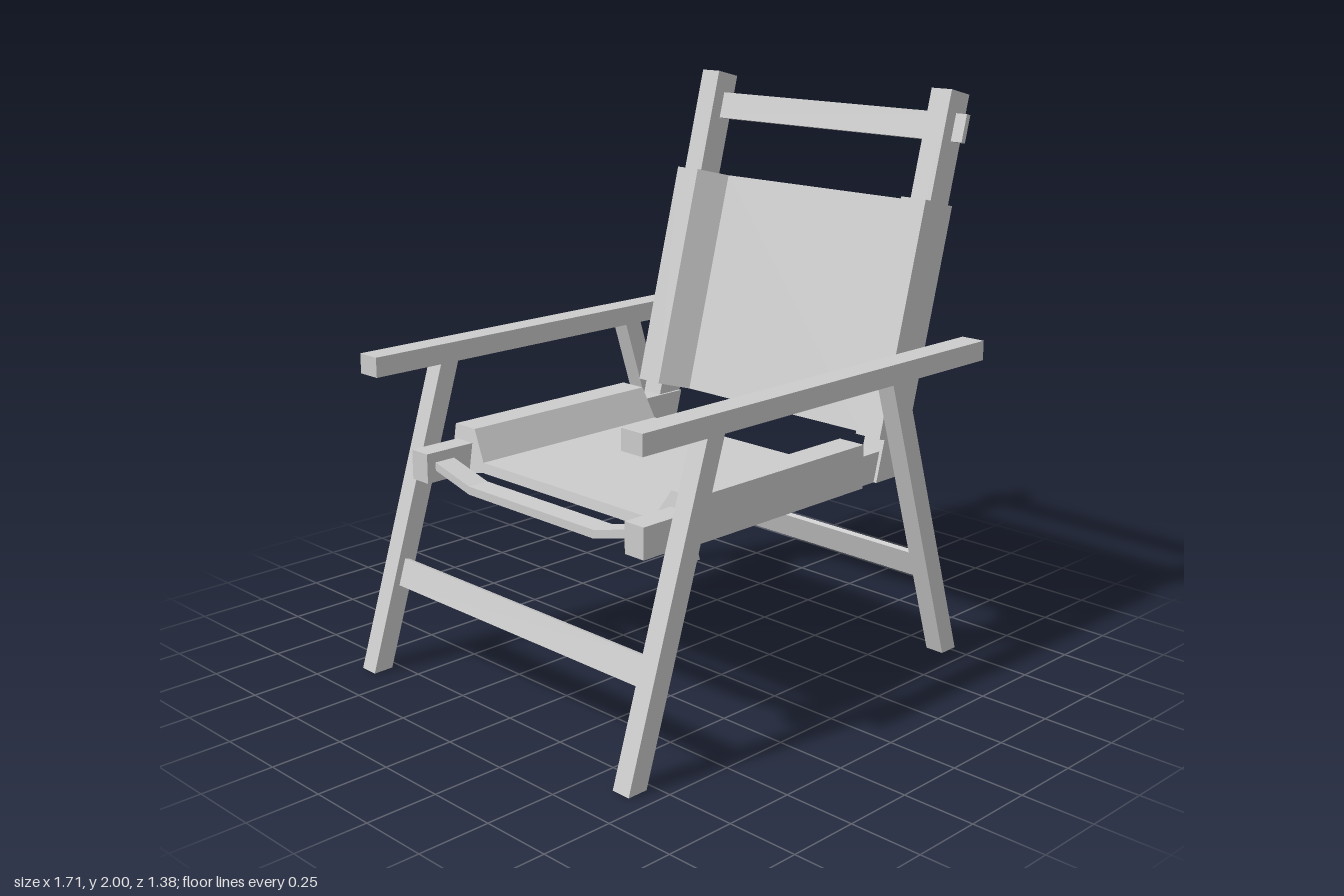
import * as THREE from 'three';

const TILT = 0.2567; // lean of the backrest from vertical

export function createModel() {
  const chair = new THREE.Group();
  chair.name = 'foldingArmchair';
  const grey = new THREE.MeshStandardMaterial({ color: 0xcccccc });
  grey.name = 'light grey';

  const add = (name, geometry, parent = chair) => {
    const mesh = new THREE.Mesh(geometry, grey);
    mesh.name = name;
    parent.add(mesh);
    return mesh;
  };
  const extrude = (points, depth) => new THREE.ExtrudeGeometry(
    new THREE.Shape(points.map(([a, b]) => new THREE.Vector2(a, b))),
    { depth, bevelEnabled: false });

  // Side-profile timber, made once for each side of the chair
  const pair = (name, points, zIn, zOut) => {
    for (const [side, z] of [['Left', zIn], ['Right', -zOut]]) {
      add(name + side, extrude(points, zOut - zIn)).position.z = z;
    }
  };
  pair('armrest', [[-0.8, 1.06], [0.855, 1.06], [0.855, 1.13], [-0.8, 1.13]], 0.6, 0.69);
  pair('frontLeg', [[-0.855, 0], [-0.78, 0], [-0.445, 1.06], [-0.52, 1.06]], 0.61, 0.68);
  pair('backLeg', [[0.7, 0], [0.775, 0], [0.44, 1.06], [0.365, 1.06]], 0.61, 0.68);
  pair('seatRail', [[-0.685, 0.685], [0.515, 0.685], [0.543, 0.79], [-0.685, 0.79]], 0.49, 0.573);
  pair('backPost', [[0.41, 0.685], [0.516, 0.685], [0.855, 1.975], [0.755, 2]], 0.5, 0.585);

  // Flat cross boards, leaning with the parts they join
  const board = (name, x, y, lean, length) => {
    const mesh = add(name, new THREE.BoxGeometry(0.02, 0.097, length));
    mesh.position.set(x, y, 0);
    mesh.rotation.z = -lean;
  };
  board('topCrossbar', 0.781, 1.868, TILT, 1.26);
  board('frontStretcher', -0.711, 0.34, 0.306, 1.22);
  board('backStretcher', 0.63, 0.34, -0.306, 1.22);

  // Dished slat across the front of the seat
  const slat = add('frontSlat', extrude([
    [-0.5, 0.728], [-0.31, 0.68], [0.31, 0.68], [0.5, 0.728],
    [0.5, 0.757], [0.31, 0.709], [-0.31, 0.709], [-0.5, 0.757],
  ], 0.08));
  slat.rotation.y = Math.PI / 2;
  slat.position.x = -0.65;

  // Fabric sling: thick sleeves at both sides, thin recessed panel between
  const half = [[0.42, -0.14], [0.485, -0.155], [0.59, -0.155], [0.59, 0], [0.485, 0], [0.42, -0.105]];
  const section = [...half, ...half.map(([a, b]) => [-a, b]).reverse()];
  const sling = (length) => extrude(section, length).rotateY(Math.PI / 2);

  const seatGeometry = sling(0.835);
  const p = seatGeometry.attributes.position;
  for (let i = 0; i < p.count; i++) { // slanted front edge
    if (p.getX(i) < 0.1) p.setX(i, (p.getY(i) + 0.155) * 0.16);
  }
  seatGeometry.computeVertexNormals();
  add('seatSling', seatGeometry).position.set(-0.505, 0.84, 0);

  const back = add('backSling', sling(0.827));
  back.position.set(0.415, 0.84, 0);
  back.rotation.z = Math.PI / 2 - TILT;

  return chair;
}
